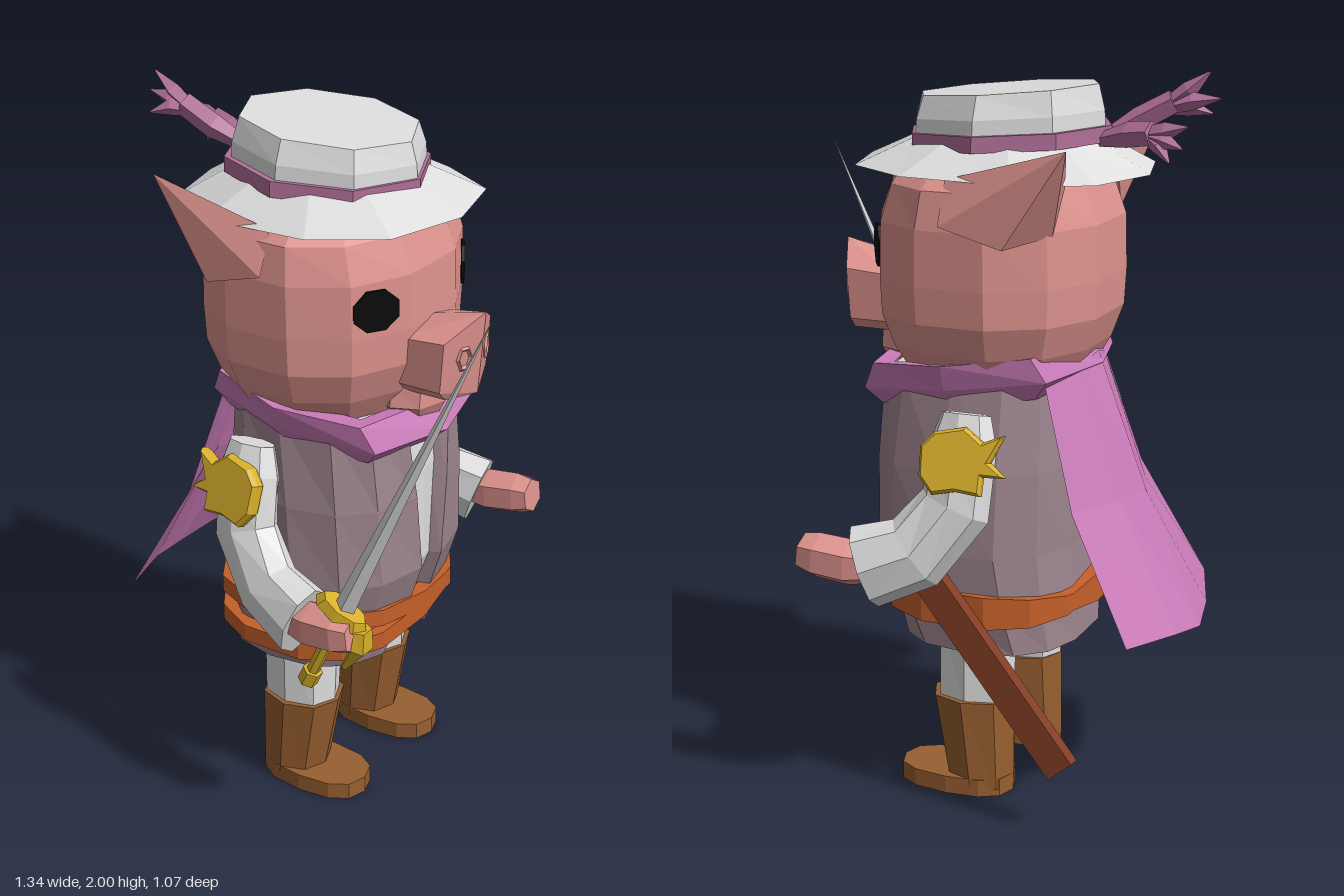
import * as THREE from 'three';
import { ConvexGeometry } from 'three/addons/geometries/ConvexGeometry.js';

const V = (x, y, z) => new THREE.Vector3(x, y, z);

function material(name, color, side = THREE.FrontSide) {
  const m = new THREE.MeshStandardMaterial({ color, flatShading: true, side });
  m.name = name;
  return m;
}

// One horizontal cross-section: rounded outline, optionally tilted along x (sx) or z (sz).
function ring(y, cx, cz, rx, rz, { n = 12, p = 0.9, phase = 0, sx = 0, sz = 0, from = 0, to = Math.PI * 2, open = false } = {}) {
  const pts = [];
  for (let i = 0; i < n; i++) {
    const t = from + phase + (to - from) * i / (open ? n - 1 : n);
    const c = Math.cos(t), s = Math.sin(t);
    const x = rx * Math.sign(c) * Math.abs(c) ** p, z = rz * Math.sign(s) * Math.abs(s) ** p;
    pts.push(V(cx + x, y + sx * x + sz * z, cz + z));
  }
  return pts;
}

// Skin a list of cross-sections, running upwards.
function loft(rings, { closed = true, caps = true } = {}) {
  const pos = [], n = rings[0].length;
  const tri = (...v) => v.forEach(q => pos.push(q.x, q.y, q.z));
  for (let i = 0; i + 1 < rings.length; i++) {
    for (let j = 0; j < (closed ? n : n - 1); j++) {
      const k = (j + 1) % n;
      const a = rings[i][j], b = rings[i][k], c = rings[i + 1][k], d = rings[i + 1][j];
      tri(a, d, c);
      tri(a, c, b);
    }
  }
  if (caps) {
    const lo = rings[0], hi = rings[rings.length - 1];
    for (let j = 1; j + 1 < n; j++) {
      tri(lo[0], lo[j], lo[j + 1]);
      tri(hi[0], hi[j + 1], hi[j]);
    }
  }
  const g = new THREE.BufferGeometry();
  g.setAttribute('position', new THREE.Float32BufferAttribute(pos, 3));
  g.computeVertexNormals();
  return g;
}

// Tapered limb along a path; flat squeezes it sideways.
function limb(path, radii, n = 7, flat = 1) {
  return loft(path.map((p, i) => {
    const d = path[Math.min(i + 1, path.length - 1)].clone().sub(path[Math.max(i - 1, 0)]).normalize();
    const u = d.clone().cross(V(0, 0, 1)).normalize(), v = u.clone().cross(d);
    return Array.from({ length: n }, (_, j) => {
      const t = j / n * Math.PI * 2;
      return p.clone().addScaledVector(u, radii[i] * Math.cos(t)).addScaledVector(v, flat * radii[i] * Math.sin(t));
    });
  }));
}

export function createModel() {
  const model = new THREE.Group();
  const D = THREE.DoubleSide;
  const skin = material('pink skin', 0xde938e), white = material('off white', 0xdedede, D);
  const purple = material('orchid cloth', 0xc97bb8, D), mauve = material('mauve cloth', 0x9e858f, D);
  const plum = material('plum trim', 0xb16f99), orange = material('orange leather', 0xc6602a);
  const brown = material('boot leather', 0x985f31), dark = material('dark leather', 0x843e25);
  const gold = material('gold', 0xd8b02a), black = material('black', 0x0a0a0a);
  const add = (name, geometry, mat, parent = model) => {
    const m = new THREE.Mesh(geometry, mat);
    m.name = name;
    parent.add(m);
    return m;
  };

  // Head, with a flat facet under each eye
  const headRings = [[1.18, 0.24, 0.27], [1.27, 0.29, 0.335], [1.36, 0.322, 0.372], [1.46, 0.327, 0.378],
    [1.61, 0.322, 0.378], [1.71, 0.285, 0.36], [1.79, 0.23, 0.27]];
  add('head', loft(headRings.map(([y, rx, rz]) => ring(y, -0.085, 0, rx, rz, { phase: Math.PI / 12 }))), skin);
  const snout = [V(0.39, 1.505, 0), V(0.37, 1.27, 0), V(0.2, 1.46, 0)];
  for (const s of [1, -1]) {
    snout.push(V(0.335, 1.44, s * 0.12), V(0.325, 1.3, s * 0.12), V(0.325, 1.27, s * 0.09),
      V(0.2, 1.43, s * 0.12), V(0.2, 1.3, s * 0.12), V(0.2, 1.27, s * 0.09));
  }
  add('snout', new ConvexGeometry(snout), skin);
  add('chin', loft([ring(1.18, 0.17, 0, 0.08, 0.09, { n: 8 }), ring(1.22, 0.17, 0, 0.1, 0.12, { n: 8 }), ring(1.28, 0.17, 0, 0.1, 0.11, { n: 8 })]), skin);
  for (const s of [1, -1]) {
    add('ear', new ConvexGeometry([V(-0.405, 1.835, s * 0.365), V(-0.06, 1.625, s * 0.378), V(-0.06, 1.74, s * 0.33),
      V(-0.235, 1.575, s * 0.372), V(-0.33, 1.6, s * 0.26), V(-0.34, 1.72, s * 0.2)]), skin);
    const eye = add('eye', new THREE.CylinderGeometry(1, 1, 0.009, 8).rotateY(Math.PI / 8).scale(0.06, 1, 0.07)
      .rotateZ(-Math.PI / 2).rotateY(-s * 0.56), black);
    eye.position.set(0.188, 1.535, s * 0.216);
    const nostril = add('nostril', new THREE.TorusGeometry(0.026, 0.007, 4, 6).scale(0.8, 1.2, 1).rotateY(Math.PI / 2 - s * 0.4), skin);
    nostril.position.set(0.359, 1.385, s * 0.055);
  }

  // Hat
  const o8 = { n: 8, p: 1 };
  add('hatBrim', loft([ring(1.74, -0.095, 0, 0.405, 0.365, { n: 10, p: 0.82, sx: 0.02 }), ring(1.82, -0.1, 0, 0.25, 0.23, { n: 10 })], { caps: false }), white);
  add('hatBand', loft([ring(1.8, -0.105, 0, 0.288, 0.268, { ...o8, sx: -0.05 }), ring(1.842, -0.105, 0, 0.288, 0.265, { ...o8, sx: -0.05 })]), plum);
  add('hatCrown', loft([ring(1.83, -0.1, 0, 0.275, 0.25, { ...o8, sx: -0.05 }), ring(1.88, -0.1, 0, 0.272, 0.245, { ...o8, sx: -0.06 }),
    ring(1.943, -0.1, 0, 0.255, 0.22, { ...o8, sx: -0.08 })]), white);

  // Feathers: a stem that splits into prongs
  const feathers = [
    { path: [V(-0.37, 1.82, 0), V(-0.46, 1.87, 0.03), V(-0.55, 1.92, 0.04)],
      tips: [V(-0.64, 2.0, 0.05), V(-0.675, 1.935, 0.03), V(-0.64, 1.89, 0.08)] },
    { path: [V(-0.37, 1.82, -0.02), V(-0.46, 1.84, -0.05), V(-0.53, 1.85, -0.075)],
      tips: [V(-0.63, 1.875, -0.1), V(-0.62, 1.82, -0.11), V(-0.58, 1.78, -0.09)] }];
  for (const { path, tips } of feathers) {
    add('featherStem', limb(path, [0.02, 0.036, 0.034], 5), plum);
    for (const tip of tips) {
      add('featherProng', limb([path[1].clone().lerp(path[2], 0.7), path[2].clone().lerp(tip, 0.4), tip], [0.02, 0.024, 0.003], 4), plum);
    }
  }

  // Shirt and open coat; the coat outline leaves a gap at the front and folds inwards there
  add('shirt', loft([[0.49, 0.22, 0.27, -0.09], [0.6, 0.24, 0.285, -0.075], [0.72, 0.26, 0.3, -0.05], [1.0, 0.26, 0.29, -0.05],
    [1.2, 0.24, 0.26, -0.05]].map(([y, rx, rz, cx]) => ring(y, cx, 0, rx, rz, { p: 0.75 }))), white);
  const coatRows = [[0.44, 0.255, 0.3, 0.3, -0.095], [0.57, 0.268, 0.318, 0.1, -0.078], [0.72, 0.288, 0.33, 0.09, -0.05],
    [0.95, 0.288, 0.325, 0.16, -0.05], [1.2, 0.275, 0.3, 0.28, -0.05]];
  add('coat', loft(coatRows.map(([y, rx, rz, gap, cx]) => {
    const arc = { from: gap, to: Math.PI * 2 - gap, open: true, n: 14, p: 0.78 };
    const r = ring(y, cx, 0, rx, rz, arc);
    const fold = q => V(q.x - 0.04, q.y, q.z * 0.7);
    return [fold(r[0]), ...r, fold(r[13])];
  }), { closed: false, caps: false }), mauve);

  // Two crossed belts
  for (const [y, sz] of [[0.587, 0.1], [0.555, -0.12]]) {
    const belt = (dy, r) => ring(y + dy, -0.08, 0, 0.285 + r, 0.332 + r, { sz, p: 0.78, n: 14 });
    add('belt', loft([belt(-0.025, -0.03), belt(-0.025, 0.012), belt(0.025, 0.012), belt(0.025, -0.03)], { caps: false }), orange);
  }

  // Scarf and cape
  const scarf = [[1.13, 0.28, 0.29], [1.178, 0.33, 0.32], [1.25, 0.285, 0.345], [1.24, 0.24, 0.27]];
  add('scarf', loft(scarf.map(([y, rx, rz]) => ring(y, -0.05, 0, rx, rz, { n: 8, p: 0.64, sx: -0.12 })), { caps: false }), purple);
  const capeRows = [[-0.58, -0.65, -0.675, 0.54, 0.5, 0.34], [-0.4, -0.47, -0.51, 0.87, 0.87, 0.28], [-0.3, -0.35, -0.365, 1.2, 1.25, 0.23]];
  add('cape', loft(capeRows.map(([xe, xm, xc, ye, yc, z]) =>
    [V(xe, ye, z), V(xm, (ye + yc) / 2, z / 2.5), V(xc, yc, 0), V(xm, (ye + yc) / 2, -z / 2.5), V(xe, ye, -z)]),
  { closed: false, caps: false }), purple);

  // Shoulder plate outline with three swept points
  const plate = new THREE.Shape([[-0.04, 0.97], [-0.035, 1.05], [-0.07, 1.09], [-0.15, 1.11], [-0.2, 1.075], [-0.255, 1.1], [-0.225, 1.025],
    [-0.27, 0.99], [-0.21, 0.985], [-0.21, 0.935], [-0.14, 0.94], [-0.08, 0.925]].map(([x, y]) => new THREE.Vector2(x + 0.13, y - 1.02)));

  for (const s of [1, -1]) {
    // Legs and boots
    add('trouserLeg', loft([ring(0.26, -0.085, s * 0.18, 0.112, 0.09, { n: 8 }), ring(0.54, -0.085, s * 0.165, 0.115, 0.105, { n: 8 })]), white);
    add('bootShaft', loft([ring(0.02, -0.105, s * 0.185, 0.095, 0.09, { n: 8 }), ring(0.28, -0.08, s * 0.18, 0.12, 0.105, { n: 8 })]), brown);
    add('bootFoot', loft([0, 0.05].map(y => ring(y, -0.032, s * 0.185, 0.167, 0.098, { n: 12, p: 0.8 }))), brown);

    // Arms with flared cuffs, hands and shoulder plates
    add('sleeve', limb([V(-0.125, 1.13, s * 0.34), V(-0.125, 1.05, s * 0.36), V(-0.115, 0.89, s * 0.39), V(-0.015, 0.76, s * 0.43), V(0.12, 0.71, s * 0.46)],
      [0.07, 0.095, 0.1, 0.105, 0.115], 8, 0.66), white);
    add('hand', limb([V(0.1, 0.72, s * 0.46), V(0.16, 0.72, s * 0.468), V(0.25, 0.73, s * 0.475), V(0.295, 0.735, s * 0.475)], [0.055, 0.066, 0.064, 0.052], 6), skin);
    const pad = add('shoulderPlate', new THREE.ExtrudeGeometry(plate, { depth: 0.02, bevelEnabled: true, bevelThickness: 0.012, bevelSize: 0.008, bevelOffset: -0.008, bevelSegments: 1 })
      .translate(0, 0, -0.01), gold);
    pad.position.set(-0.13, 1.025, s * 0.425);
    pad.rotation.set(-s * 0.3, -s * 0.15, 0);
  }

  // Scabbard
  const top = V(0.05, 0.74, -0.345), tip = V(-0.425, 0.19, -0.39);
  const scabbard = add('scabbard', new THREE.BoxGeometry(0.085, top.distanceTo(tip), 0.04), dark);
  scabbard.position.copy(top).lerp(tip, 0.5);
  scabbard.quaternion.setFromUnitVectors(V(0, 1, 0), top.clone().sub(tip).normalize());

  // Sword
  const sword = new THREE.Group();
  sword.name = 'sword';
  sword.position.set(0.135, 0.535, 0.465);
  sword.rotation.z = -0.43;
  model.add(sword);
  add('pommel', new THREE.CylinderGeometry(0.028, 0.028, 0.045, 6).translate(0, 0.02, 0), gold, sword);
  add('grip', new THREE.CylinderGeometry(0.018, 0.018, 0.25, 6).translate(0, 0.145, 0), gold, sword);
  add('guard', new THREE.CylinderGeometry(0.07, 0.088, 0.03, 8).scale(1, 1, 0.5).translate(0, 0.278, 0), gold, sword);
  add('knuckleGuard', limb([V(0.07, 0.27, 0), V(0.09, 0.22, 0), V(0.075, 0.13, 0)], [0.022, 0.028, 0.012], 5, 1.5), gold, sword);
  add('blade', new THREE.CylinderGeometry(0.001, 0.03, 1, 4).scale(1, 1, 0.7).translate(0, 0.78, 0), white, sword);
  return model;
}
